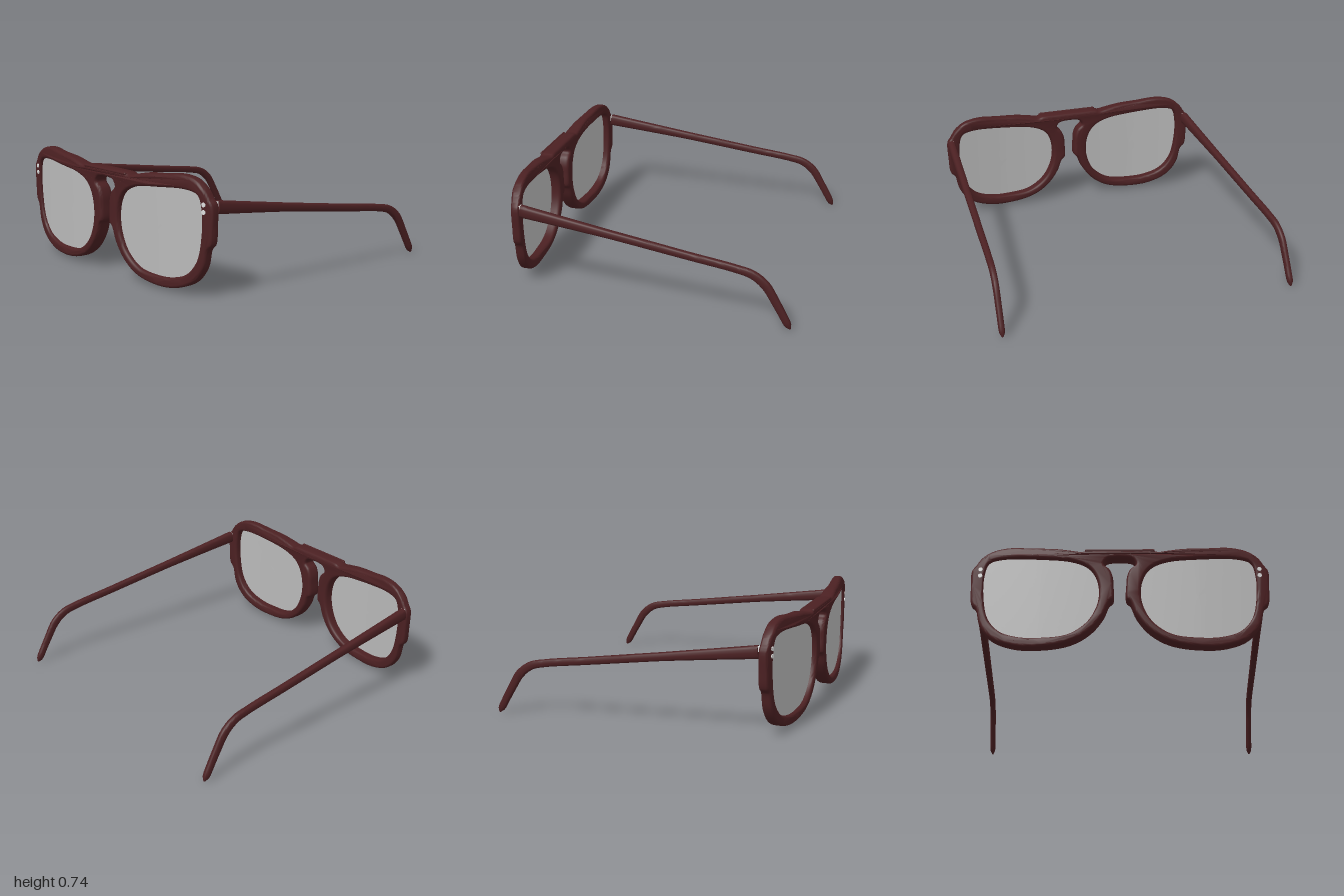
import * as THREE from 'three';
import { toCreasedNormals } from 'three/addons/utils/BufferGeometryUtils.js';

const mat = (name, color, side = THREE.FrontSide) => {
  const m = new THREE.MeshStandardMaterial({ color, side });
  m.name = name;
  return m;
};

// Outline of one half of the frame, from the middle of the bridge underside round to its top
const HALF = [
  [0.04, 0.65], [0.08, 0.64], [0.1, 0.605], [0.065, 0.57], [0.045, 0.52], [0.04, 0.46], [0.04, 0.36], [0.065, 0.335],
  [0.1, 0.25], [0.18, 0.145], [0.3, 0.07], [0.48, 0.037], [0.65, 0.05], [0.79, 0.11], [0.87, 0.21],
  [0.9, 0.325], [0.93, 0.36], [0.94, 0.47], [0.94, 0.6], [0.915, 0.635], [0.88, 0.685], [0.81, 0.735], [0.7, 0.755],
  [0.55, 0.74], [0.4, 0.727], [0.3, 0.708], [0.24, 0.697], [0.21, 0.706], [0.1, 0.708],
];
const LENS = [
  [0.13, 0.42], [0.152, 0.52], [0.2, 0.585], [0.3, 0.63], [0.5, 0.655], [0.75, 0.669], [0.83, 0.645],
  [0.857, 0.56], [0.855, 0.4], [0.82, 0.25], [0.74, 0.155], [0.62, 0.11], [0.48, 0.1],
  [0.32, 0.12], [0.205, 0.2], [0.145, 0.31],
];

const smoothLoop = (pts, n) => {
  const curve = new THREE.CatmullRomCurve3(pts.map(([x, y]) => new THREE.Vector3(x, y, 0)), true, 'centripetal');
  return curve.getPoints(n).slice(0, n).map((p) => new THREE.Vector2(p.x, p.y));
};
const mirrored = (pts) => pts.map(([x, y]) => [-x, y]).reverse();

// Wrap of the frame: t = 0 is the back face, t = 1 the front face
const wrapZ = (x, y, t) => {
  const a = Math.abs(x);
  const back = 0.856 - 0.09 * Math.max(a - 0.5, 0);
  const front = 0.957 - 0.095 * Math.pow(a, 2.3) - 0.25 * Math.max(y - 0.69, 0);
  return back + (front - back) * t;
};

// Mesh surface from equal closed rings of points, with optional end caps
function loft(rings, flip, caps) {
  const n = rings[0].length, pos = [], idx = [];
  const tri = (a, b, c) => (flip ? idx.push(a, c, b) : idx.push(a, b, c));
  rings.forEach((r) => r.forEach((p) => pos.push(p.x, p.y, p.z)));
  for (let i = 0; i < rings.length - 1; i++) {
    for (let j = 0; j < n; j++) {
      const a = i * n + j, b = i * n + (j + 1) % n;
      tri(a, b, a + n);
      tri(b, b + n, a + n);
    }
  }
  if (caps) {
    const e = (rings.length - 1) * n;
    for (let j = 1; j < n - 1; j++) {
      tri(0, j + 1, j);
      tri(e, e + j, e + j + 1);
    }
  }
  const g = new THREE.BufferGeometry();
  g.setAttribute('position', new THREE.Float32BufferAttribute(pos, 3));
  g.setIndex(idx);
  g.computeVertexNormals();
  return g;
}

function frameGeometry() {
  const shape = new THREE.Shape(smoothLoop([...HALF, ...mirrored(HALF)], 320));
  for (const pts of [LENS, mirrored(LENS)]) shape.holes.push(new THREE.Path(smoothLoop(pts, 96)));
  const g = new THREE.ExtrudeGeometry(shape, {
    depth: 0.5, bevelThickness: 0.25, bevelSize: 0.018, bevelOffset: -0.018, bevelSegments: 4, steps: 1,
  });
  const p = g.attributes.position;
  for (let i = 0; i < p.count; i++) p.setZ(i, wrapZ(p.getX(i), p.getY(i), p.getZ(i) + 0.25));
  return toCreasedNormals(g, 0.7);
}

// Lens as concentric rings that follow the wrap of the frame
function lensGeometry(s) {
  const edge = smoothLoop(LENS, 80), rings = [];
  for (let k = 0; k <= 8; k++) {
    const f = 1.01 * (1 - k / 8);
    rings.push(edge.map((p) => {
      const x = 0.49 + (p.x - 0.49) * f, y = 0.39 + (p.y - 0.39) * f;
      return new THREE.Vector3(s * x, y, wrapZ(x, 0.4, 0.68));
    }));
  }
  return loft(rings, s > 0, false);
}

// Temple arm: rounded section swept back and down behind the ear
function templeGeometry(s) {
  // z, y, half height
  const stations = [
    [0.815, 0.582, 0.042], [0.6, 0.553, 0.036], [0.2, 0.498, 0.027], [-0.3, 0.425, 0.025],
    [-0.6, 0.382, 0.025], [-0.7, 0.357, 0.027], [-0.78, 0.298, 0.029], [-0.85, 0.188, 0.026], [-0.943, 0.022, 0.023],
  ];
  const path = new THREE.CatmullRomCurve3(stations.map(([z, y]) => new THREE.Vector3(0, y, z)), false, 'centripetal');
  const rings = [], steps = 64, sides = 16;
  for (let i = 0; i <= steps; i++) {
    const t = i / steps, c = path.getPoint(t), d = path.getTangent(t);
    const u = t * (stations.length - 1), k = Math.min(Math.floor(u), stations.length - 2);
    const tip = Math.sqrt(Math.max(1 - Math.pow(Math.max(t - 0.965, 0) / 0.036, 2), 0.04));
    const h = THREE.MathUtils.lerp(stations[k][2], stations[k + 1][2], u - k) * tip;
    const along = (0.815 - c.z) / 1.76;
    const w = (0.027 - 0.008 * along) * tip, cx = 0.917 + 0.064 * along;
    const ring = [];
    for (let j = 0; j < sides; j++) {
      const a = (j / sides) * Math.PI * 2, co = Math.cos(a), si = Math.sin(a);
      const px = Math.sign(co) * Math.pow(Math.abs(co), 0.7) * w;
      const py = Math.sign(si) * Math.pow(Math.abs(si), 0.7) * h;
      ring.push(new THREE.Vector3(s * (cx + px), c.y - d.z * py, c.z + d.y * py));
    }
    rings.push(ring);
  }
  return toCreasedNormals(loft(rings, s > 0, true), 0.8);
}

export function createModel() {
  const group = new THREE.Group();
  group.name = 'eyeglasses';
  const maroon = mat('dark maroon', 0x4b2022);
  const glass = mat('grey glass', 0xb9b9b9, THREE.DoubleSide);
  const metal = mat('light metal', 0xdcdcdc);
  const add = (name, geometry, material) => {
    const m = new THREE.Mesh(geometry, material);
    m.name = name;
    group.add(m);
    return m;
  };

  add('frontFrame', frameGeometry(), maroon);

  // Slim raised bar across the brow
  const bar = add('browBar', new THREE.CapsuleGeometry(0.01, 0.42, 6, 12), maroon);
  bar.rotation.z = Math.PI / 2;
  bar.position.set(0, 0.699, 0.947);

  for (const s of [1, -1]) {
    const side = s > 0 ? 'left' : 'right';
    add(side + 'Lens', lensGeometry(s), glass);
    add(side + 'Temple', templeGeometry(s), maroon);

    // Hinge: upright pin and the leaf joining it to the frame
    add(side + 'HingePin', new THREE.CylinderGeometry(0.016, 0.016, 0.07, 16), metal).position.set(s * 0.914, 0.582, 0.813);
    add(side + 'HingeLeaf', new THREE.BoxGeometry(0.014, 0.05, 0.03), metal).position.set(s * 0.914, 0.582, 0.822);

    // Pair of rivets on the front
    for (const y of [0.6, 0.555]) {
      const rivet = add(side + 'Rivet', new THREE.CylinderGeometry(0.014, 0.014, 0.008, 16), metal);
      rivet.rotation.set(Math.PI / 2, 0, -s * 0.19);
      rivet.position.set(s * 0.882, y, wrapZ(0.882, y, 1) + 0.001);
    }
  }
  return group;
}
